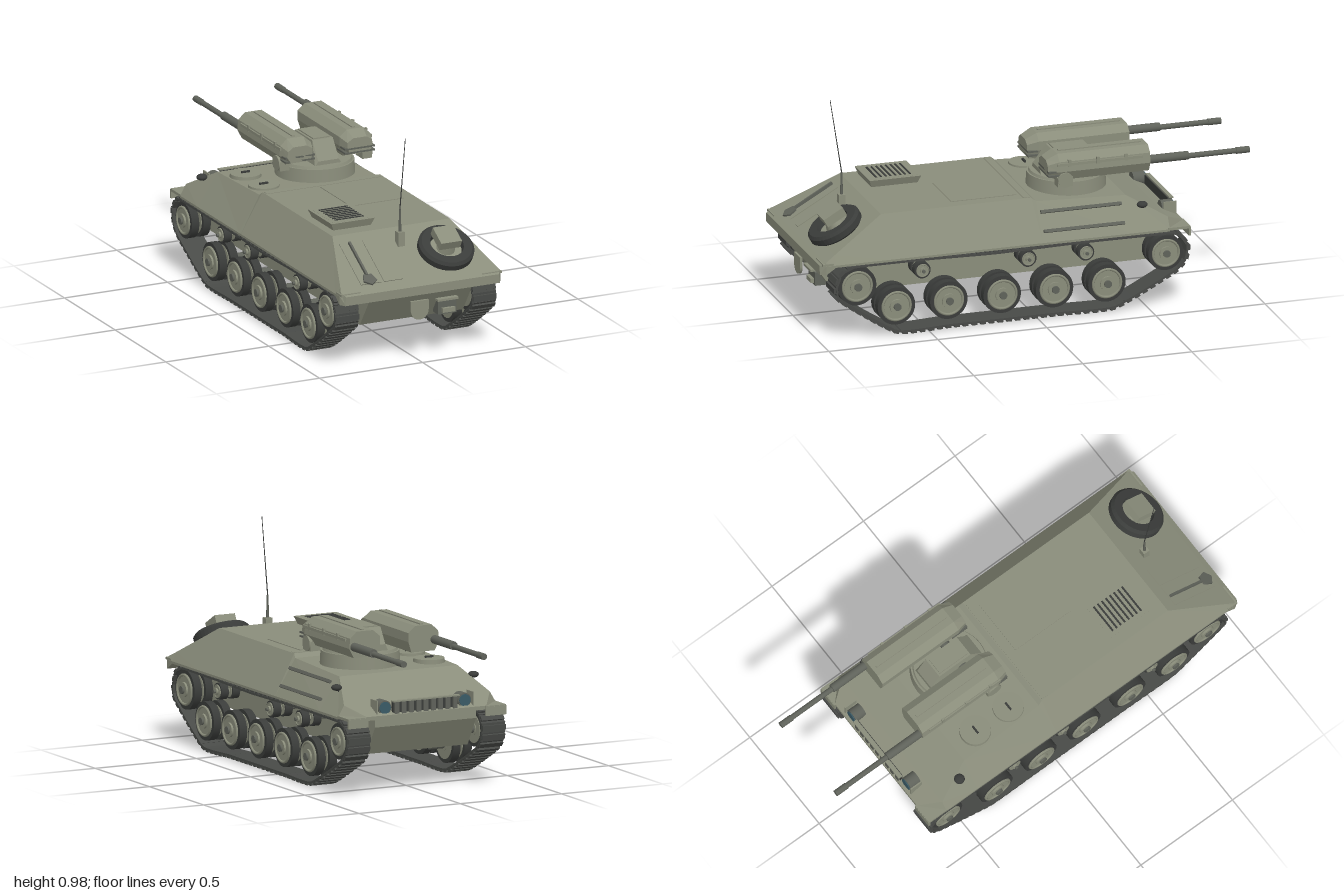
import * as THREE from 'three';
import { mergeGeometries } from 'three/addons/utils/BufferGeometryUtils.js';

const mat = (color, extra = {}) => new THREE.MeshStandardMaterial({ color, ...extra });
const OLIVE = mat(0x8a8d7b);
const FLAT = mat(0x8a8d7b, { flatShading: true });
const DARK = mat(0x3a3c3a);
const TRACK = mat(0x484a47);
const STEEL = mat(0x5f625a);
const GLASS = mat(0x3a5a66);

function add(parent, name, geo, material, pos = [0, 0, 0], rot = [0, 0, 0]) {
  const m = new THREE.Mesh(geo, material);
  m.name = name;
  m.position.set(...pos);
  m.rotation.set(...rot);
  parent.add(m);
  return m;
}
const box = (x, y, z) => new THREE.BoxGeometry(x, y, z);
const cyl = (r1, r2, h, n = 24) => new THREE.CylinderGeometry(r1, r2, h, n);
const cylX = (r, h, n = 24) => cyl(r, r, h, n).rotateZ(Math.PI / 2);
const cylZ = (r, h, n = 16) => cyl(r, r, h, n).rotateX(Math.PI / 2);

// Skin over convex rings, counter-clockwise seen from +z, ordered from -z to +z
function loft(rings) {
  const p = [], n = rings[0].length;
  const tri = (a, b, c) => p.push(...a, ...b, ...c);
  for (let i = 0; i < rings.length - 1; i++) {
    for (let j = 0; j < n; j++) {
      const k = (j + 1) % n, lo = rings[i], hi = rings[i + 1];
      tri(lo[j], lo[k], hi[k]);
      tri(lo[j], hi[k], hi[j]);
    }
  }
  const first = rings[0], last = rings[rings.length - 1];
  for (let j = 1; j < n - 1; j++) {
    tri(last[0], last[j], last[j + 1]);
    tri(first[0], first[j + 1], first[j]);
  }
  const g = new THREE.BufferGeometry();
  g.setAttribute('position', new THREE.Float32BufferAttribute(p, 3));
  g.computeVertexNormals();
  return g;
}

// Double road wheel with rubber tyres, rim and hub; s is the outward side
function wheel(parent, name, s, y, z, r) {
  const g = new THREE.Group();
  g.name = name;
  g.position.set(s * 0.333, y, z);
  parent.add(g);
  for (const x of [-0.028, 0.028]) {
    add(g, 'tyre', cylX(r, 0.036, 32), DARK, [x, 0, 0]);
    add(g, 'rim', cylX(r * 0.8, 0.042, 32), OLIVE, [x, 0, 0]);
  }
  add(g, 'rimLip', new THREE.TorusGeometry(r * 0.74, r * 0.07, 6, 32).rotateY(Math.PI / 2), OLIVE, [s * 0.049, 0, 0]);
  add(g, 'hub', cylX(r * 0.38, 0.11, 16), OLIVE, [s * 0.003, 0, 0]);
  add(g, 'hubCap', cylX(r * 0.2, 0.13, 12), STEEL, [s * 0.002, 0, 0]);
  add(g, 'axle', cylX(r * 0.25, 0.12, 12), STEEL, [-s * 0.06, 0, 0]);
}

// Continuous track: a thin link and a raised pad at each step of the loop
function track() {
  const loop = [[0.65, 0.014], [0.4, 0.014], [-0.1, 0.014], [-0.35, 0.016], [-0.62, 0.15], [-0.67, 0.2],
    [-0.68, 0.26], [-0.645, 0.31], [-0.585, 0.326], [-0.2, 0.328], [0.2, 0.322], [0.5, 0.328],
    [0.83, 0.328], [0.9, 0.3], [0.925, 0.24], [0.905, 0.18]];
  const curve = new THREE.CatmullRomCurve3(loop.map(([z, y]) => new THREE.Vector3(0, y, z)), true, 'catmullrom', 0.25);
  const count = 88, pitch = curve.getLength() / count, parts = [];
  for (let i = 0; i < count; i++) {
    const p = curve.getPointAt(i / count), t = curve.getTangentAt(i / count);
    for (const g of [box(0.115, 0.009, pitch * 1.1), box(0.112, 0.01, pitch * 0.6).translate(0, 0.009, 0)]) {
      parts.push(g.rotateX(Math.atan2(-t.y, t.z)).translate(p.x, p.y, p.z));
    }
  }
  return mergeGeometries(parts);
}

function buildHull(root) {
  // z, bottom, shoulder height, shoulder half width, deck height, deck half width
  const stations = [
    [-0.69, 0.335, 0.345, 0.3, 0.352, 0.295], [-0.6, 0.335, 0.345, 0.39, 0.395, 0.36],
    [-0.43, 0.335, 0.345, 0.39, 0.49, 0.292], [-0.02, 0.335, 0.345, 0.39, 0.505, 0.29],
    [0, 0.335, 0.345, 0.39, 0.522, 0.285], [0.69, 0.335, 0.345, 0.39, 0.522, 0.285],
    [0.93, 0.335, 0.345, 0.39, 0.385, 0.367], [0.975, 0.305, 0.345, 0.39, 0.36, 0.384],
    [1, 0.305, 0.31, 0.375, 0.345, 0.37]];
  add(root, 'upperHull', loft(stations.map(([z, b, m, w, t, d]) =>
    [[w, b, z], [w, m, z], [d, t, z], [-d, t, z], [-w, m, z], [-w, b, z]])), FLAT);
  const belly = [[-0.68, 0.3], [-0.6, 0.17], [0.89, 0.17], [0.98, 0.3]];
  add(root, 'lowerHull', loft(belly.map(([z, b]) =>
    [[0.25, b, z], [0.25, 0.34, z], [-0.25, 0.34, z], [-0.25, b, z]])), FLAT);

  // Deck fittings
  add(root, 'deckPanel', box(0.26, 0.006, 0.3), OLIVE, [0.1, 0.522, 0.2]);
  add(root, 'deckEdge', box(0.56, 0.006, 0.03), OLIVE, [0, 0.521, 0.02]);
  for (const z of [-0.31, -0.13]) {
    add(root, 'hatch', cyl(0.068, 0.07, 0.022, 32), OLIVE, [-0.215, 0.5, z]);
    add(root, 'hatchHandle', box(0.04, 0.008, 0.008), DARK, [-0.215, 0.515, z]);
  }
  const ring = (w, l, y) => [[w, y, l], [w, y, -l], [-w, y, -l], [-w, y, l]];
  const vent = loft([ring(0.09, 0.105, 0.036), ring(0.105, 0.118, 0)].map(r => r.map(([x, y, z]) => [x, -z, y])));
  add(root, 'engineVent', vent.rotateX(-Math.PI / 2).scale(1, -1, -1), FLAT, [-0.155, 0.556, 0.513]).material = mat(0x8a8d7b, { flatShading: true, side: THREE.DoubleSide });
  add(root, 'engineVentBody', box(0.18, 0.035, 0.21), OLIVE, [-0.155, 0.539, 0.513]);
  for (let i = 0; i < 8; i++) add(root, 'louvre', box(0.14, 0.005, 0.008), DARK, [-0.155, 0.557, 0.435 + i * 0.022]);

  // Stowage rails on the left flank
  for (const [x, y] of [[0.367, 0.39], [0.322, 0.465]]) {
    add(root, 'sideRail', box(0.014, 0.014, 0.37), STEEL, [x, y, -0.215], [0, 0, 0.54]);
  }
  // Mirrors, fenders and headlamps
  for (const s of [-1, 1]) {
    add(root, 'mirror', new THREE.SphereGeometry(0.024, 16, 10).scale(1, 0.6, 1), DARK, [s * 0.338, 0.455, -0.49]);
    add(root, 'mirrorStalk', cyl(0.005, 0.005, 0.06, 8), DARK, [s * 0.325, 0.435, -0.49]);
    add(root, 'frontFender', box(0.095, 0.01, 0.05), OLIVE, [s * 0.342, 0.35, 0.965]);
    add(root, 'rearFender', box(0.1, 0.012, 0.1), OLIVE, [s * 0.34, 0.345, -0.645]);
    add(root, 'rearFlap', box(0.1, 0.04, 0.01), OLIVE, [s * 0.34, 0.327, -0.692]);
    add(root, 'headlamp', cylZ(0.032, 0.055, 20), STEEL, [s * 0.197, 0.382, -0.645]);
    add(root, 'headlampGlass', cylZ(0.027, 0.006, 20), GLASS, [s * 0.197, 0.382, -0.674]);
    add(root, 'headlampGuard', box(0.006, 0.07, 0.06), OLIVE, [s * 0.237, 0.382, -0.65]);
  }
  // Slatted grille between the headlamps
  add(root, 'grilleBack', box(0.32, 0.055, 0.012), DARK, [0, 0.378, -0.672]);
  for (let i = 0; i < 9; i++) add(root, 'grilleSlat', box(0.022, 0.058, 0.01), STEEL, [-0.144 + i * 0.036, 0.378, -0.682]);
  for (const y of [0.348, 0.409]) add(root, 'grilleRail', box(0.33, 0.006, 0.02), OLIVE, [0, y, -0.68]);

  // Lower plate fittings
  const plate = new THREE.Shape();
  plate.moveTo(-0.043, 0.04).lineTo(-0.043, -0.005);
  plate.absarc(0, -0.003, 0.043, Math.PI, Math.PI * 2);
  plate.lineTo(0.043, 0.04);
  add(root, 'roundPlate', new THREE.ExtrudeGeometry(plate, { depth: 0.012, bevelEnabled: false }), OLIVE, [-0.003, 0.231, 0.968]);
  add(root, 'towBracket', box(0.09, 0.06, 0.05), STEEL, [0.14, 0.217, 0.935]);
  add(root, 'towBracketTop', box(0.1, 0.01, 0.07), OLIVE, [0.135, 0.258, 0.945]);
  add(root, 'towHook', box(0.06, 0.02, 0.04), OLIVE, [0.142, 0.207, 0.955]);
}

// Items lying on the sloping front plate; local y is the plate normal
function buildFrontPlate(root) {
  const g = new THREE.Group();
  g.name = 'frontPlateFittings';
  g.position.set(0, 0.4385, 0.835);
  g.rotation.x = 0.515;
  root.add(g);
  add(g, 'doorPanelOuter', box(0.1, 0.008, 0.25), OLIVE, [-0.225, 0, 0.01]);
  add(g, 'doorPanelInner', box(0.09, 0.008, 0.25), OLIVE, [-0.118, 0, 0.01]);
  add(g, 'shovelHandle', box(0.01, 0.014, 0.2), STEEL, [-0.23, 0.01, -0.01]);
  add(g, 'shovelBlade', cyl(0.034, 0.034, 0.008, 5), STEEL, [-0.228, 0.01, 0.115]);
  const tyre = [[0.07, -0.022], [0.115, -0.022], [0.125, -0.012], [0.125, 0.015], [0.113, 0.027], [0.075, 0.027], [0.07, -0.022]];
  add(g, 'spareTyre', new THREE.LatheGeometry(tyre.map(p => new THREE.Vector2(...p)), 40), mat(0x3a3c3a, { side: THREE.DoubleSide, flatShading: true }), [0.178, 0.028, 0.02]);
  add(g, 'spareRim', cyl(0.074, 0.074, 0.022, 32), OLIVE, [0.178, 0.015, 0.02]);
  add(g, 'spareHub', cyl(0.03, 0.045, 0.05, 20), OLIVE, [0.178, 0.04, 0.02]);
  add(g, 'stowageBox', box(0.1, 0.04, 0.1), OLIVE, [0.175, 0.081, 0.005]);

  // Aerial
  add(root, 'aerialBase', box(0.032, 0.065, 0.03), OLIVE, [0, 0.497, 0.778]);
  add(root, 'aerialMount', cyl(0.004, 0.007, 0.1, 8), STEEL, [0, 0.58, 0.777]);
  add(root, 'aerialWhip', cyl(0.0015, 0.0025, 0.345, 6), DARK, [0, 0.799, 0.803], [0.155, 0, 0]);
}

function buildTurret(root) {
  const t = new THREE.Group();
  t.name = 'turret';
  t.position.x = 0.08;
  root.add(t);
  add(t, 'turretRing', cyl(0.172, 0.176, 0.062, 48), OLIVE, [0, 0.53, -0.225]);
  add(t, 'turretCap', cyl(0.16, 0.165, 0.012, 48), OLIVE, [0, 0.566, -0.225]);
  // Central housing with sloped ends
  const house = [[-0.365, 0.6], [-0.32, 0.67], [-0.15, 0.67], [-0.09, 0.59]];
  add(t, 'centralHousing', loft(house.map(([z, y]) =>
    [[0.066, 0.565, z], [0.05, y, z], [-0.05, y, z], [-0.066, 0.565, z]])), FLAT);
  add(t, 'housingLid', box(0.08, 0.006, 0.15), OLIVE, [0, 0.672, -0.235]);
  add(t, 'gunCrossShaft', cylX(0.022, 0.3), STEEL, [0, 0.62, -0.2]);

  // Mirrored gun pods
  const outline = [[0.2, 0.588], [0.222, 0.63], [0.217, 0.675], [0.185, 0.704],
    [0.105, 0.704], [0.07, 0.675], [0.07, 0.635], [0.085, 0.588]];
  const ends = [[-0.54, 1], [-0.125, 1], [-0.075, 0.62]];
  for (const s of [-1, 1]) {
    const g = new THREE.Group();
    g.name = s > 0 ? 'leftGunPod' : 'rightGunPod';
    t.add(g);
    const rings = ends.map(([z, k]) => {
      const r = outline.map(([x, y]) => [s * (0.145 + (x - 0.145) * (k + 1) / 2), 0.635 + (y - 0.635) * k, z]);
      return s > 0 ? r : r.reverse();
    });
    add(g, 'podBody', loft(rings), FLAT);
    add(g, 'podTopRib', box(0.014, 0.008, 0.38), OLIVE, [s * 0.145, 0.705, -0.33]);
    for (const y of [0.612, 0.63]) add(g, 'podLip', box(0.145, 0.008, 0.08), STEEL, [s * 0.145, y, -0.115]);
    add(g, 'podSideRib', box(0.008, 0.012, 0.39), OLIVE, [s * 0.22, 0.663, -0.31]);
    for (const z of [-0.17, -0.3, -0.43]) add(g, 'podLatch', box(0.01, 0.03, 0.014), OLIVE, [s * 0.22, 0.668, z]);
    add(g, 'podBracket', box(0.045, 0.042, 0.07), OLIVE, [s * 0.2, 0.583, -0.15]);
    add(g, 'podPivot', cylX(0.034, 0.016), OLIVE, [s * 0.219, 0.592, -0.15]);
    add(g, 'barrelSleeve', cylZ(0.019, 0.19), STEEL, [s * 0.198, 0.637, -0.625]);
    add(g, 'barrel', cylZ(0.012, 0.48), STEEL, [s * 0.198, 0.634, -0.76]);
    add(g, 'muzzle', cylZ(0.0145, 0.06), STEEL, [s * 0.198, 0.634, -0.97]);
  }
}

function buildRunningGear(root) {
  const trackGeo = track();
  for (const s of [-1, 1]) {
    const g = new THREE.Group();
    g.name = s > 0 ? 'leftRunningGear' : 'rightRunningGear';
    root.add(g);
    add(g, 'track', trackGeo, TRACK, [s * 0.333, 0, 0]);
    for (const z of [0.65, 0.41, 0.165, -0.075, -0.315]) wheel(g, 'roadWheel', s, 0.125, z, 0.086);
    wheel(g, 'frontWheel', s, 0.235, 0.83, 0.088);
    wheel(g, 'rearWheel', s, 0.235, -0.585, 0.08);
    for (const z of [0.53, 0.045, -0.22]) wheel(g, 'returnRoller', s, 0.276, z, 0.037);
  }
}

export function createModel() {
  const root = new THREE.Group();
  root.name = 'armouredVehicle';
  buildHull(root);
  buildFrontPlate(root);
  buildTurret(root);
  buildRunningGear(root);
  return root;
}
